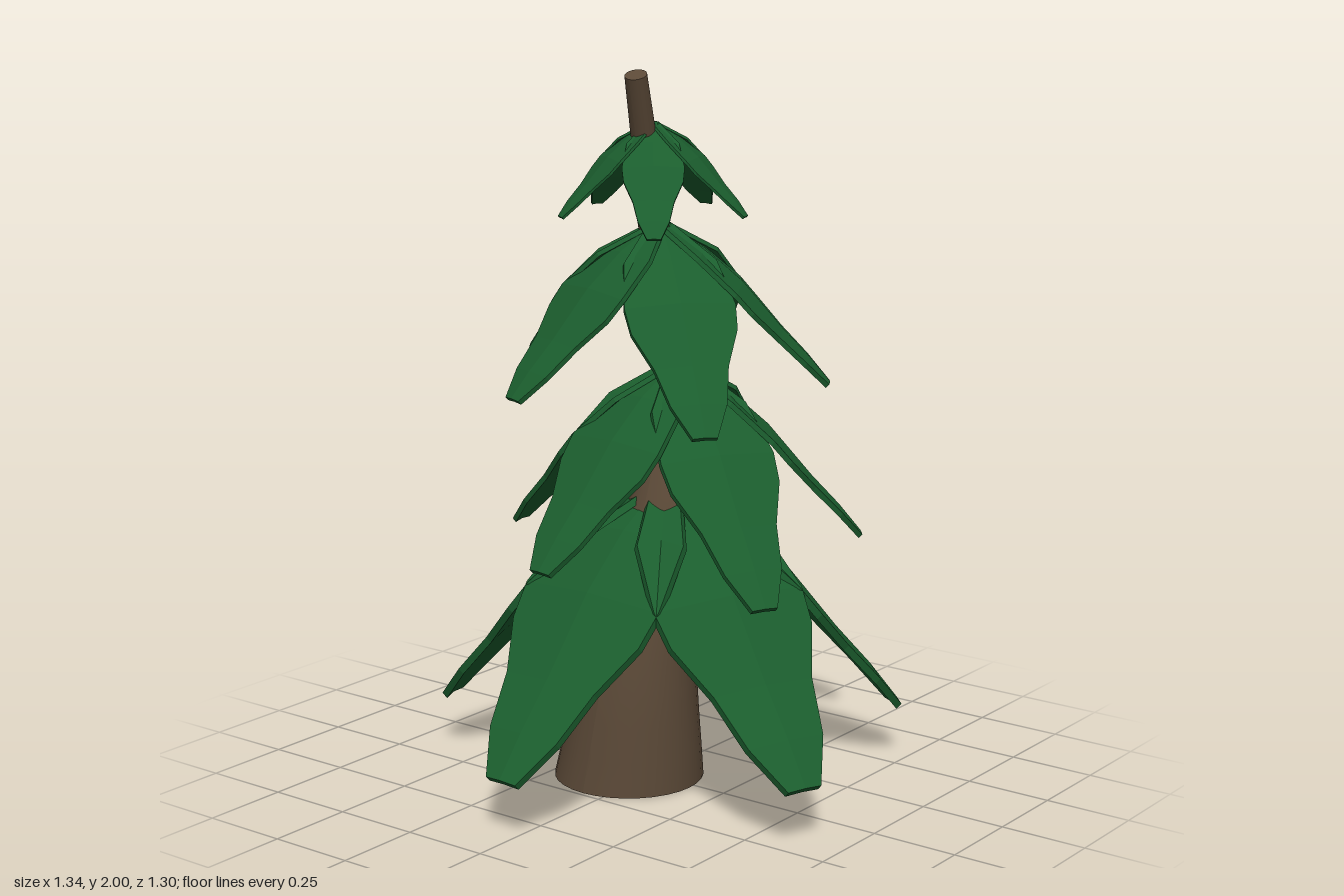
import * as THREE from 'three';

const bark = new THREE.MeshStandardMaterial({ color: 0x5c4a38 });
const green = new THREE.MeshStandardMaterial({ color: 0x1b5e2e, flatShading: true });

// Trunk centre line and the radius at each of its points
const TRUNK = [
  [-0.065, 0, 0.025, 0.213], [-0.012, 0.4, 0.035, 0.155], [0.03, 0.8, -0.04, 0.115],
  [0.01, 1.15, -0.13, 0.075], [-0.065, 1.4, -0.155, 0.052], [-0.105, 1.58, -0.135, 0.042],
  [-0.073, 1.79, -0.06, 0.036], [-0.045, 1.988, 0.015, 0.031],
];

// Leaf stations: distance outward, drop, half width (all as fractions)
const LEAF = [
  [0, 0, 0.2], [0.24, 0.18, 0.84], [0.46, 0.39, 1], [0.56, 0.51, 0.95],
  [0.71, 0.68, 0.66], [0.87, 0.85, 0.5], [1, 1, 0.22],
];

// Rings of five leaves: centre, top height, reach, drop, width, turn in degrees
const TIERS = [
  { x: 0.02, z: -0.04, y: 0.86, reach: 0.68, drop: 0.7, width: 0.48, turn: -3 },
  { x: 0.0, z: -0.12, y: 1.18, reach: 0.52, drop: 0.51, width: 0.345, turn: -9 },
  { x: -0.09, z: -0.15, y: 1.56, reach: 0.475, drop: 0.45, width: 0.315, turn: -20 },
  { x: -0.06, z: -0.08, y: 1.85, reach: 0.265, drop: 0.25, width: 0.17, turn: -34 },
];

function makeTrunk() {
  const path = new THREE.CatmullRomCurve3(TRUNK.map(([x, y, z]) => new THREE.Vector3(x, y, z)));
  const geometry = new THREE.CylinderGeometry(1, 1, 1, 32, 28);
  const pos = geometry.attributes.position;
  const up = new THREE.Vector3(0, 1, 0);
  const v = new THREE.Vector3();
  for (let i = 0; i < pos.count; i++) {
    const t = THREE.MathUtils.clamp(pos.getY(i) + 0.5, 0, 1);
    const s = t * (TRUNK.length - 1);
    const k = Math.min(Math.floor(s), TRUNK.length - 2);
    const radius = THREE.MathUtils.lerp(TRUNK[k][3], TRUNK[k + 1][3], s - k);
    // The base stays level; higher rings lean with the path
    const lean = up.clone().lerp(path.getTangent(t), Math.min(1, t * 3)).normalize();
    const turn = new THREE.Quaternion().setFromUnitVectors(up, lean);
    v.set(pos.getX(i) * radius, 0, pos.getZ(i) * radius).applyQuaternion(turn).add(path.getPoint(t));
    pos.setXYZ(i, v.x, v.y, v.z);
  }
  geometry.computeVertexNormals();
  const trunk = new THREE.Mesh(geometry, bark);
  trunk.name = 'trunk';
  return trunk;
}

// A thin drooping leaf with a raised midrib, pointing along +z
function makeLeafGeometry(reach, drop, width) {
  const positions = [];
  const index = [];
  const thick = 0.022 * width;
  const ridge = 0.05 * width;
  for (const [out, down, half] of LEAF) {
    const w = half * width / 2;
    const section = [
      [w, thick], [0, thick + ridge * half], [-w, thick],
      [-w, -thick], [0, ridge * half - thick], [w, -thick],
    ];
    for (const [x, lift] of section) {
      positions.push(x, lift * 0.7 - down * drop, out * reach + lift * 0.7);
    }
  }
  const last = (LEAF.length - 1) * 6;
  for (let ring = 0; ring < last; ring += 6) {
    for (let k = 0; k < 6; k++) {
      const a = ring + k;
      const b = ring + (k + 1) % 6;
      index.push(a, b, a + 6, b, b + 6, a + 6);
    }
  }
  // End faces
  for (const [a, b, c] of [[0, 1, 5], [1, 4, 5], [1, 2, 4], [2, 3, 4]]) {
    index.push(a, c, b, last + a, last + b, last + c);
  }
  const geometry = new THREE.BufferGeometry();
  geometry.setAttribute('position', new THREE.Float32BufferAttribute(positions, 3));
  geometry.setIndex(index);
  geometry.computeVertexNormals();
  return geometry;
}

function makeTier({ x, z, y, reach, drop, width, turn }, number) {
  const tier = new THREE.Group();
  tier.name = `leafTier${number + 1}`;
  tier.position.set(x, y, z);
  for (let i = 0; i < 5; i++) {
    // In the upper tiers one leaf hangs a little lower
    const sag = i === 1 && number > 0 ? 1.14 : 1;
    const leaf = new THREE.Mesh(makeLeafGeometry(reach, drop * sag, width), green);
    leaf.name = 'leaf';
    leaf.rotation.y = THREE.MathUtils.degToRad(turn + i * 72);
    tier.add(leaf);
  }
  return tier;
}

export function createModel() {
  const tree = new THREE.Group();
  tree.name = 'tree';
  tree.add(makeTrunk(), ...TIERS.map(makeTier));
  return tree;
}
